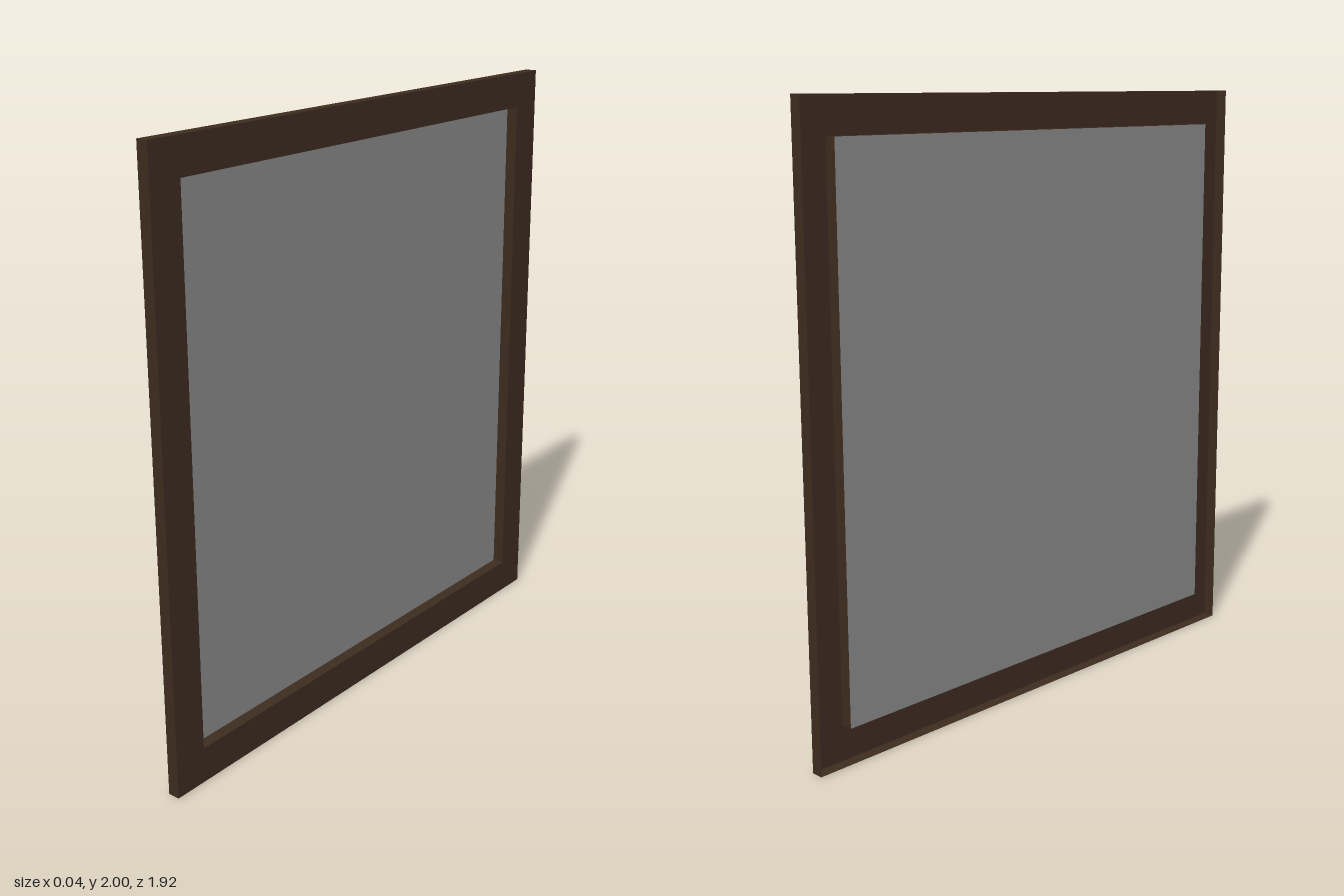
import * as THREE from 'three';

const DEPTH = 0.04, HALF_W = 0.96, HALF_H = 1, BORDER = 0.117;

function rectPath(path, w, h) {
  path.moveTo(-w, -h);
  path.lineTo(w, -h);
  path.lineTo(w, h);
  path.lineTo(-w, h);
  path.closePath();
  return path;
}

export function createModel() {
  const model = new THREE.Group();
  const wood = new THREE.MeshStandardMaterial({ color: 0x3d2b1f, side: THREE.DoubleSide });
  const grey = new THREE.MeshStandardMaterial({ color: 0x888888, side: THREE.DoubleSide });
  const inW = HALF_W - BORDER, inH = HALF_H - BORDER;

  function add(parent, name, geometry, material, x, y, z) {
    const mesh = new THREE.Mesh(geometry, material);
    mesh.name = name;
    mesh.position.set(x, y, z);
    parent.add(mesh);
  }

  // Four thin walls around a rectangle; facing is 1 outwards, -1 inwards
  function addWalls(name, w, h, facing) {
    const walls = new THREE.Group();
    walls.name = name;
    for (const s of [1, -1]) {
      const flat = new THREE.PlaneGeometry(DEPTH, 2 * w).rotateX(-s * facing * Math.PI / 2);
      add(walls, s > 0 ? 'topWall' : 'bottomWall', flat, wood, 0, HALF_H + s * h, 0);
      const side = new THREE.PlaneGeometry(DEPTH, 2 * h);
      if (s * facing < 0) side.rotateY(Math.PI);
      add(walls, s > 0 ? 'frontWall' : 'rearWall', side, wood, 0, HALF_H, s * w);
    }
    model.add(walls);
  }

  // Frame face on +x, hollow and open behind
  const face = rectPath(new THREE.Shape(), HALF_W, HALF_H);
  face.holes.push(rectPath(new THREE.Path(), inW, inH));
  add(model, 'frameFace', new THREE.ShapeGeometry(face).rotateY(Math.PI / 2), wood, DEPTH / 2, HALF_H, 0);
  addWalls('outerWalls', HALF_W, HALF_H, 1);
  addWalls('openingWalls', inW, inH, -1);

  // Recessed panel at the back of the opening
  add(model, 'panel', new THREE.PlaneGeometry(2 * inW, 2 * inH).rotateY(Math.PI / 2), grey, -DEPTH / 2, HALF_H, 0);

  return model;
}
